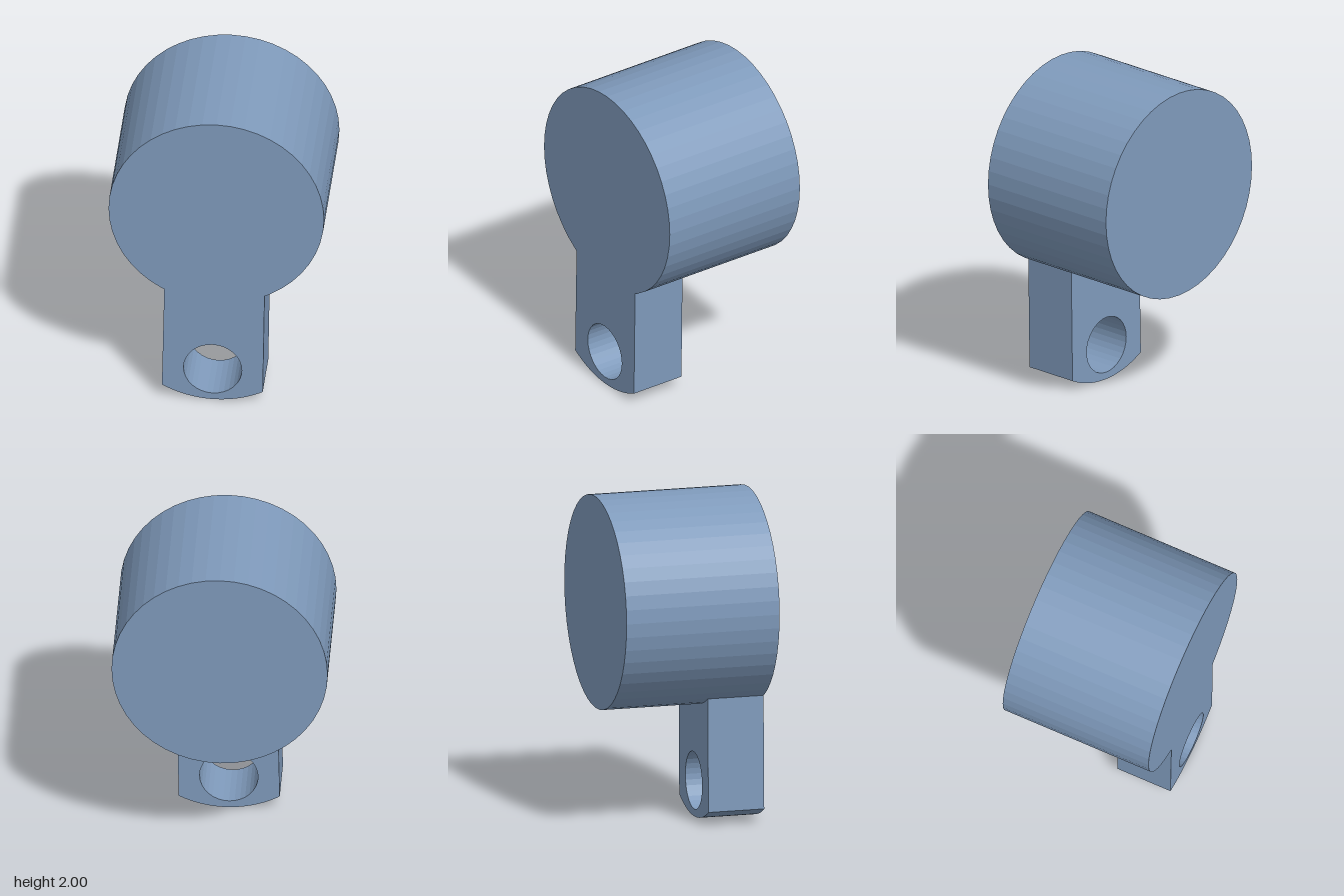
import * as THREE from 'three';

export function createModel() {
  const model = new THREE.Group();
  const steel = new THREE.MeshStandardMaterial({ color: 0x7f9abb, flatShading: true });
  steel.name = 'blueGrey';

  const R = 0.65, cy = 1.35, front = 0.48, back = -0.48, tabDepth = 0.35;

  // Thick round body, axis along z
  const drum = new THREE.CylinderGeometry(R, R, front - back, 48);
  drum.rotateX(Math.PI / 2);
  const body = new THREE.Mesh(drum, steel);
  body.name = 'roundBody';
  body.position.y = cy;
  model.add(body);

  // Hanging tab: curved bottom edge, slightly leaning sides, top fitted to the body
  const shape = new THREE.Shape();
  const bx = -0.01, bR = 0.63;
  const bottomAngle = (x) => -Math.acos((x - bx) / bR);
  const topAngle = (x) => -Math.acos(x / R);
  shape.absarc(bx, bR, bR, bottomAngle(-0.328), bottomAngle(0.28), false);
  shape.absarc(0, cy, R - 0.002, topAngle(0.292), topAngle(-0.315), true);
  shape.closePath();

  // Round eyelet through the tab
  const hole = new THREE.Path();
  hole.absarc(-0.022, 0.22, 0.176, 0, Math.PI * 2, true);
  shape.holes.push(hole);

  const tabGeometry = new THREE.ExtrudeGeometry(shape, {
    depth: tabDepth, bevelEnabled: false, curveSegments: 16,
  });
  const tab = new THREE.Mesh(tabGeometry, steel);
  tab.name = 'eyeletTab';
  tab.position.z = front - tabDepth;
  model.add(tab);

  return model;
}
